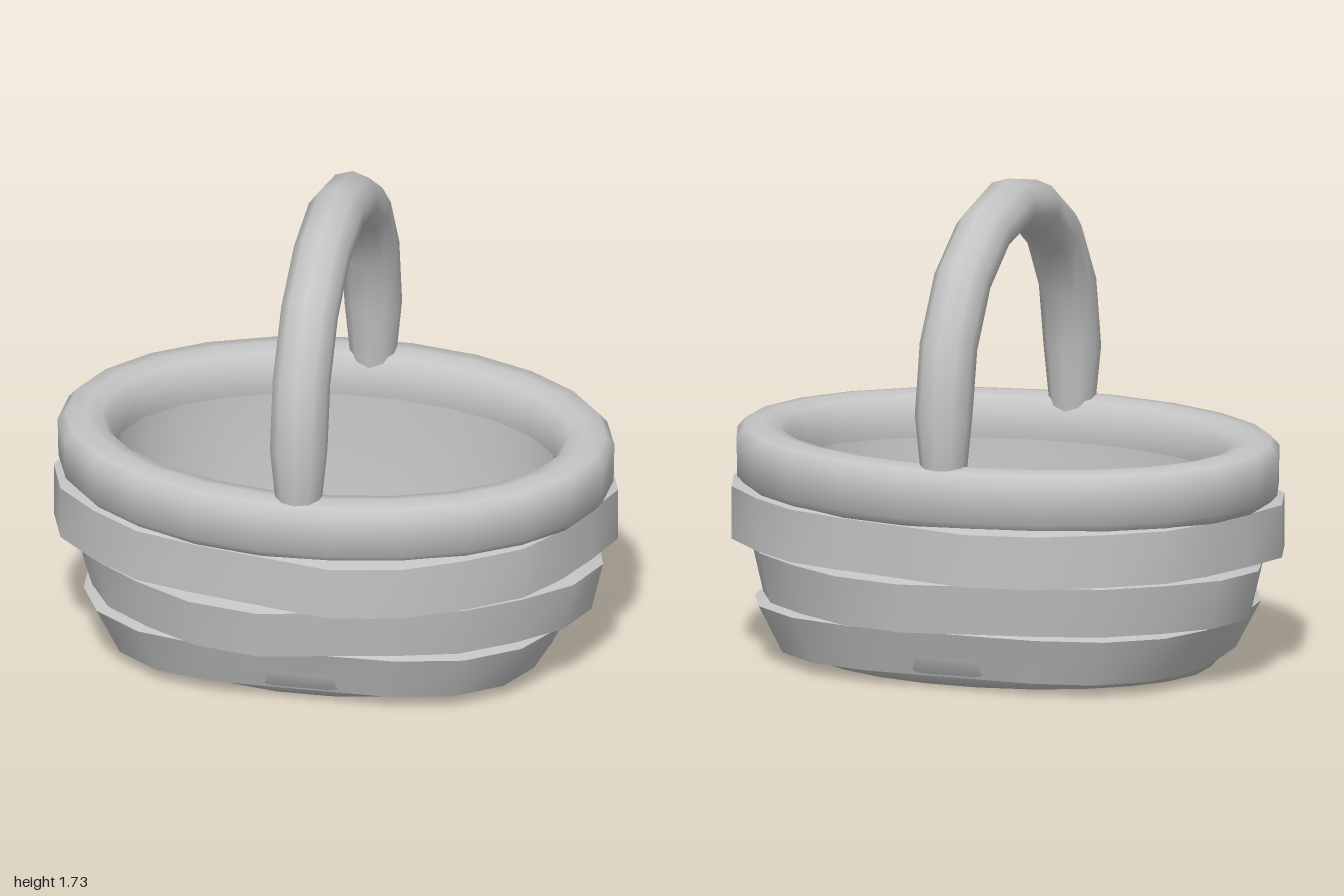
import * as THREE from 'three';
import { toCreasedNormals } from 'three/addons/utils/BufferGeometryUtils.js';

const SIDES = 24;

// Skin a list of closed rings of points, wound counterclockwise around the path
function loft(rings, crease = 0.7) {
  const n = rings[0].length;
  const index = [];
  for (let j = 0; j < rings.length - 1; j++) {
    for (let i = 0; i < n; i++) {
      const k = (i + 1) % n;
      const a = j * n + i, b = j * n + k, c = (j + 1) * n + k, d = (j + 1) * n + i;
      index.push(a, b, c, a, c, d);
    }
  }
  const geometry = new THREE.BufferGeometry();
  geometry.setAttribute('position', new THREE.Float32BufferAttribute(rings.flat(2), 3));
  geometry.setIndex(index);
  return toCreasedNormals(geometry, crease);
}

// Oval ring at height y; wave(angle) pushes it outward, angle runs from +z to +x
function oval(rx, rz, y, wave = () => 0) {
  return Array.from({ length: SIDES }, (_, i) => {
    const t = ((i + 0.5) / SIDES) * Math.PI * 2;
    const w = wave(t);
    return [(rx + w) * Math.sin(t), y, (rz + w) * Math.cos(t)];
  });
}

export function createModel() {
  const group = new THREE.Group();
  const wicker = new THREE.MeshStandardMaterial({ color: 0xc4c4c4 });
  wicker.name = 'wicker grey';
  const add = (name, geometry) => {
    const mesh = new THREE.Mesh(geometry, wicker);
    mesh.name = name;
    group.add(mesh);
  };

  // Base, closed underneath, with a soft bevel up to the lowest strand
  add('base', loft([
    oval(0.001, 0.001, 0), oval(0.745, 0.55, 0.005), oval(0.80, 0.61, 0.06), oval(0.83, 0.63, 0.12),
  ], 1.2));

  // Woven strands: each weaves in and out four times around the basket.
  // The two upper ones cross over at the axes, the lowest bulges on the diagonals.
  const crossing = (t) => 0.03 * (Math.sin(4 * t) + 0.5 * Math.sin(8 * t));
  const strands = [
    { name: 'lowerStrand', low: [0.832, 0.642, 0.045], high: [0.925, 0.71, 0.215], wave: (t) => -0.05 * Math.cos(4 * t) },
    { name: 'middleStrand', low: [0.925, 0.715, 0.225], high: [0.968, 0.745, 0.405], wave: (t) => -crossing(t) },
    { name: 'upperStrand', low: [0.98, 0.752, 0.415], high: [0.98, 0.752, 0.605], wave: crossing },
  ];
  for (const { name, low, high, wave } of strands) {
    add(name, loft([
      oval(low[0] - 0.1, low[1] - 0.1, low[2]),
      oval(...low, wave),
      oval(...high, wave),
      oval(high[0] - 0.08, high[1] - 0.08, high[2] + 0.025),
    ]));
  }

  // Rounded rim, given as inset from the outer oval and height
  const rimProfile = [
    [0.16, 0.6], [0.035, 0.605], [0.003, 0.64], [0, 0.78], [0.03, 0.813],
    [0.095, 0.823], [0.155, 0.81], [0.19, 0.765], [0.2, 0.68], [0.18, 0.6],
  ];
  add('rim', loft(rimProfile.map(([d, y]) => oval(0.995 - d, 0.75 - d, y)), 1.2));

  // Inner wall and floor
  add('innerWall', loft([oval(0.8, 0.555, 0.7), oval(0.775, 0.54, 0.4), oval(0.69, 0.485, 0.08)]));
  add('floor', loft([oval(0.69, 0.485, 0.08), oval(0.001, 0.001, 0.08)]));

  // Handle sections from foot to crown: outer z, y; inner z, y; half width
  const half = [
    [0.70, 0.70, 0.57, 0.70, 0.07],
    [0.715, 0.82, 0.555, 0.82, 0.085],
    [0.73, 1.00, 0.54, 1.00, 0.103],
    [0.68, 1.28, 0.495, 1.20, 0.103],
    [0.52, 1.52, 0.38, 1.38, 0.103],
    [0.28, 1.67, 0.205, 1.495, 0.103],
  ];
  const mirrored = half.map(([zo, yo, zi, yi, w]) => [-zo, yo, -zi, yi, w]).reverse();
  const sections = [...half, [0, 1.73, 0, 1.535, 0.103], ...mirrored];
  add('handle', loft(sections.map(([zo, yo, zi, yi, w]) =>
    Array.from({ length: 10 }, (_, i) => {
      const t = (i / 10) * Math.PI * 2;
      const c = Math.cos(t) / 2;
      return [w * Math.sin(t), (yo + yi) / 2 + c * (yo - yi), (zo + zi) / 2 + c * (zo - zi)];
    })), 1.2));

  return group;
}
